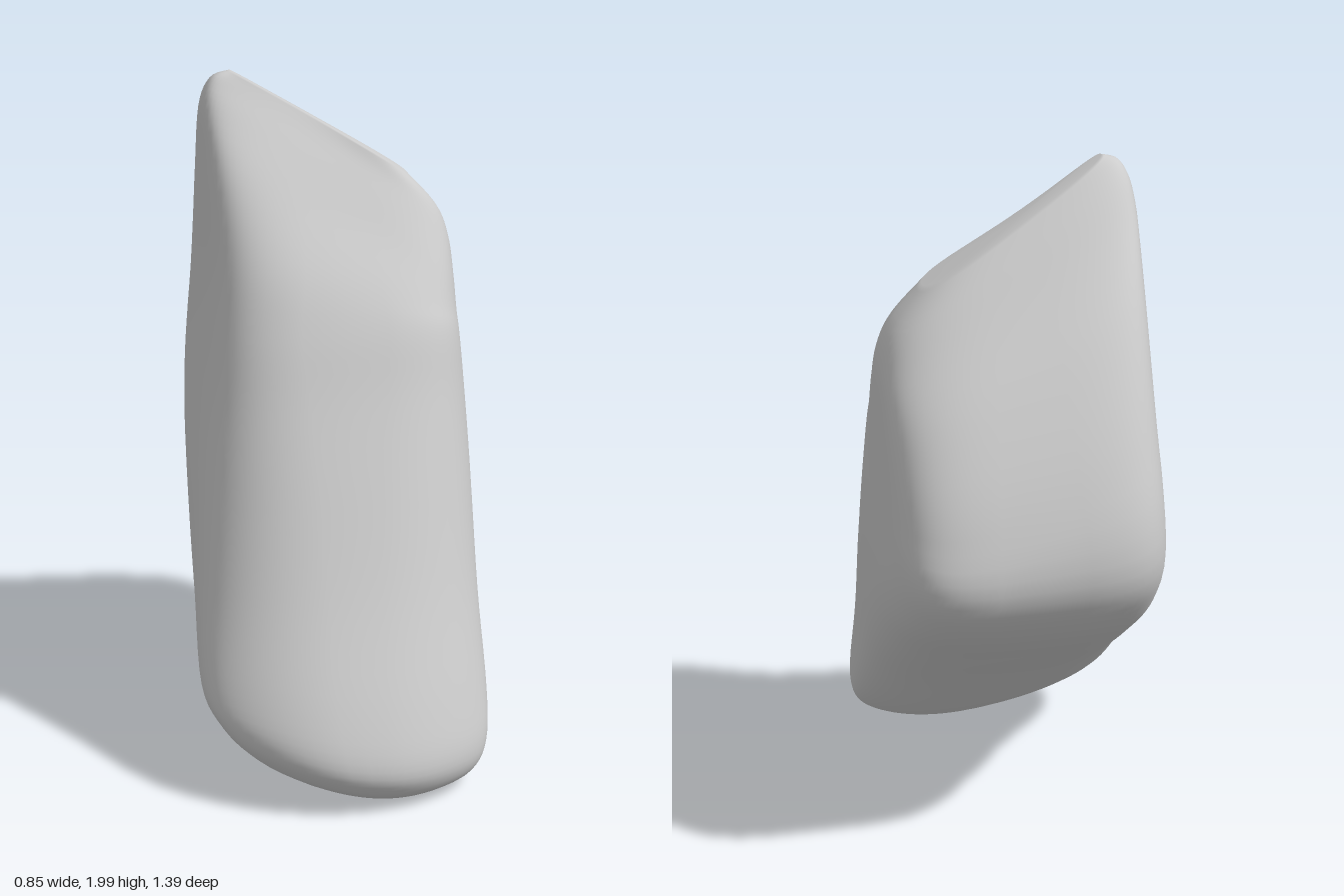
import * as THREE from 'three';

// Fan of cross-sections from the toe to the top ridge:
// [front z, front y, back z, back y, min x, max x, side slope, squareness, front rounding, edge curl]
// Negative front rounding hollows the front between the two upper corners.
const SECTIONS = [
  [0.62, 0.035, 0.52, 0.013, -0.15, 0.24, 0.15, 2.2, 0.04, 0.45],
  [0.67, 0.075, 0.44, 0.025, -0.29, 0.335, 0.15, 2.4, 0.07, 0.45],
  [0.695, 0.15, 0.35, 0.06, -0.38, 0.385, 0.13, 2.6, 0.11, 0.4],
  [0.64, 0.30, 0.20, 0.16, -0.425, 0.405, 0.08, 2.7, 0.11, 0.22],
  [0.50, 0.58, -0.07, 0.38, -0.415, 0.41, 0.04, 2.9, 0.08, 0.1],
  [0.365, 0.88, -0.34, 0.58, -0.40, 0.42, 0, 3.2, 0.06, 0],
  [0.265, 1.10, -0.58, 0.77, -0.38, 0.42, 0, 3.8, 0.05, 0],
  [0.195, 1.27, -0.69, 0.95, -0.36, 0.41, 0.04, 4.4, 0.03, 0],
  [0.125, 1.41, -0.635, 1.20, -0.345, 0.405, 0.24, 4, -0.02, 0],
  [0.02, 1.58, -0.49, 1.48, -0.345, 0.40, 0.46, 3.5, -0.09, 0],
  [-0.05, 1.71, -0.34, 1.66, -0.345, 0.39, 0.57, 3, -0.09, 0],
  [-0.09, 1.785, -0.26, 1.765, -0.315, 0.355, 0.61, 2.6, -0.08, 0],
  [-0.11, 1.83, -0.20, 1.825, -0.26, 0.26, 0.62, 2.3, -0.06, 0],
];
const AROUND = 72;
const STEPS = 5;

// Catmull-Rom blend of every section value
function sectionAt(t) {
  const last = SECTIONS.length - 1;
  const i = Math.min(Math.floor(t), last - 1);
  const f = t - i;
  const at = (k) => SECTIONS[Math.max(0, Math.min(last, k))];
  return SECTIONS[i].map((_, c) => {
    const a = at(i - 1)[c], b = at(i)[c], d = at(i + 1)[c], e = at(i + 2)[c];
    return b + 0.5 * f * (d - a + f * (2 * a - 5 * b + 4 * d - e + f * (3 * (b - d) + e - a)));
  });
}

// Point in a section: u runs across x, v from back (-1) to front (+1)
function pointIn([fz, fy, bz, by, x0, x1, slope, , round, curl], u, v) {
  const k = (1 - v) / 2;
  const x = (x0 + x1) / 2 + (u * (x1 - x0)) / 2;
  const lean = 0.45 * x * Math.max(0, slope - 0.15) * k;
  return [
    x,
    fy + (by - fy) * k - slope * x + curl * x * x,
    fz + (bz - fz) * k - lean - round * u * u * (1 - k),
  ];
}

function bodyGeometry() {
  const positions = [], index = [];
  const rings = (SECTIONS.length - 1) * STEPS;
  const rounded = (c, n) => Math.sign(c) * Math.pow(Math.abs(c), 2 / n);
  for (let r = 0; r <= rings; r++) {
    const s = sectionAt(r / STEPS);
    for (let j = 0; j < AROUND; j++) {
      const a = (j / AROUND) * Math.PI * 2;
      positions.push(...pointIn(s, rounded(Math.cos(a), s[7]), rounded(Math.sin(a), s[7])));
    }
  }
  // End caps
  const bottom = positions.length / 3;
  positions.push(...pointIn(SECTIONS[0], 0, 0), ...pointIn(SECTIONS[SECTIONS.length - 1], 0, 0));
  for (let j = 0; j < AROUND; j++) {
    const n = (j + 1) % AROUND;
    for (let r = 0; r < rings; r++) {
      const p = r * AROUND;
      index.push(p + j, p + AROUND + j, p + n, p + n, p + AROUND + j, p + AROUND + n);
    }
    index.push(bottom, j, n, bottom + 1, rings * AROUND + n, rings * AROUND + j);
  }
  const g = new THREE.BufferGeometry();
  g.setAttribute('position', new THREE.Float32BufferAttribute(positions, 3));
  g.setIndex(index);
  g.computeVertexNormals();
  return g;
}

export function createModel() {
  const group = new THREE.Group();
  const body = new THREE.Mesh(bodyGeometry(), new THREE.MeshStandardMaterial({ color: 0xcccccc }));
  body.name = 'wedgeBody';
  group.add(body);
  return group;
}
